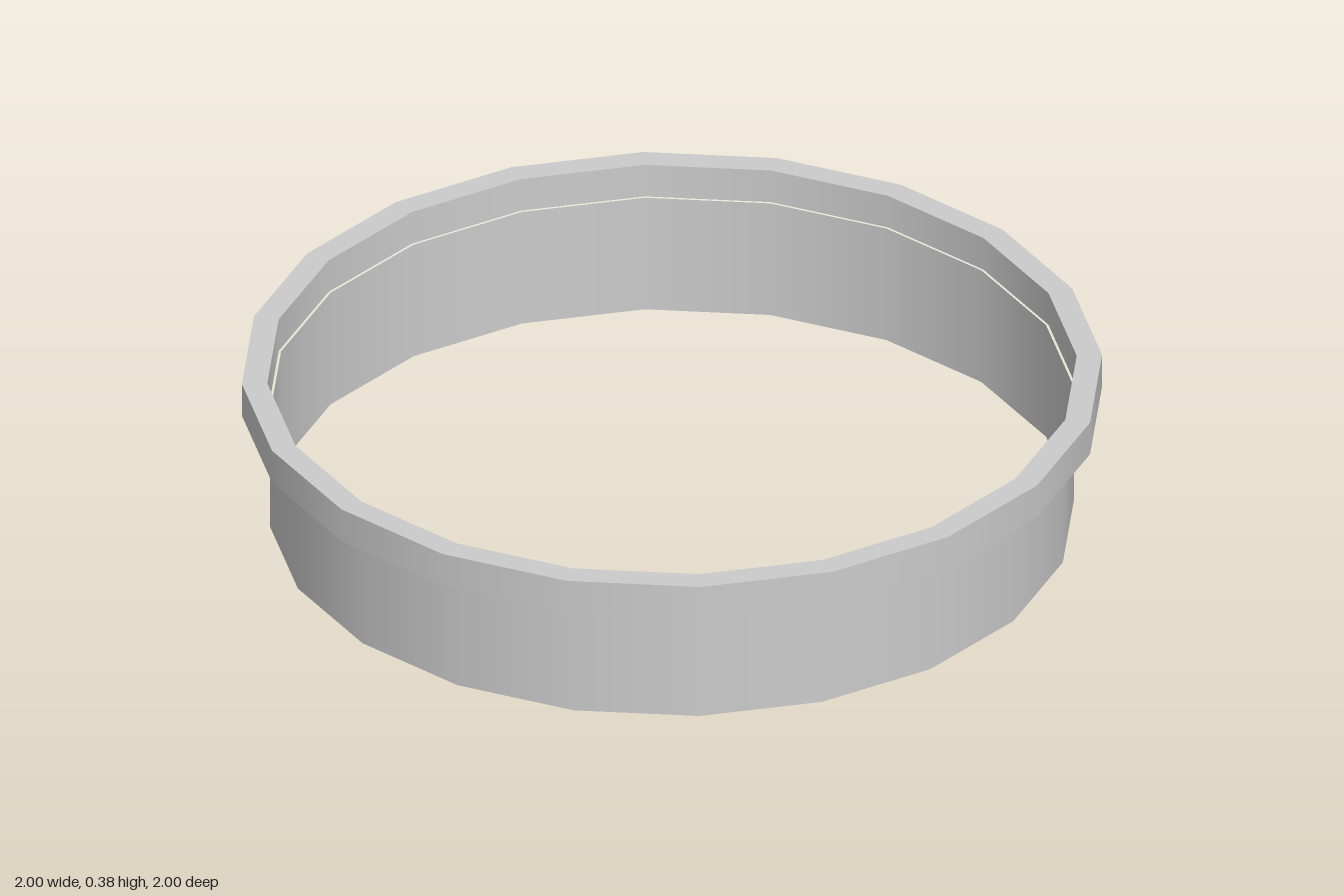
import * as THREE from 'three';
import { mergeGeometries } from 'three/addons/utils/BufferGeometryUtils.js';

const SIDES = 20;
const WALL_RADIUS = 0.935, RIM_INNER = 0.941, RIM_OUTER = 1;
const RIM_BOTTOM = 0.3, RIM_TOP = 0.385;

// One band swept around the y axis between two [radius, height] points
function band(from, to) {
  return new THREE.LatheGeometry([new THREE.Vector2(...from), new THREE.Vector2(...to)], SIDES);
}

function addPart(group, name, geometry, side) {
  const mesh = new THREE.Mesh(geometry, new THREE.MeshStandardMaterial({ color: 0xcccccc, side }));
  mesh.name = name;
  group.add(mesh);
}

export function createModel() {
  const group = new THREE.Group();
  group.name = 'flangedRing';

  // Thin open wall
  addPart(group, 'wall', band([WALL_RADIUS, 0], [WALL_RADIUS, RIM_BOTTOM]), THREE.DoubleSide);

  // Rectangular rim: smooth around, sharp between its four faces
  const corners = [
    [RIM_INNER, RIM_BOTTOM], [RIM_OUTER, RIM_BOTTOM],
    [RIM_OUTER, RIM_TOP], [RIM_INNER, RIM_TOP],
  ];
  const faces = corners.map((corner, i) => band(corner, corners[(i + 1) % 4]));
  addPart(group, 'rim', mergeGeometries(faces), THREE.FrontSide);

  return group;
}
